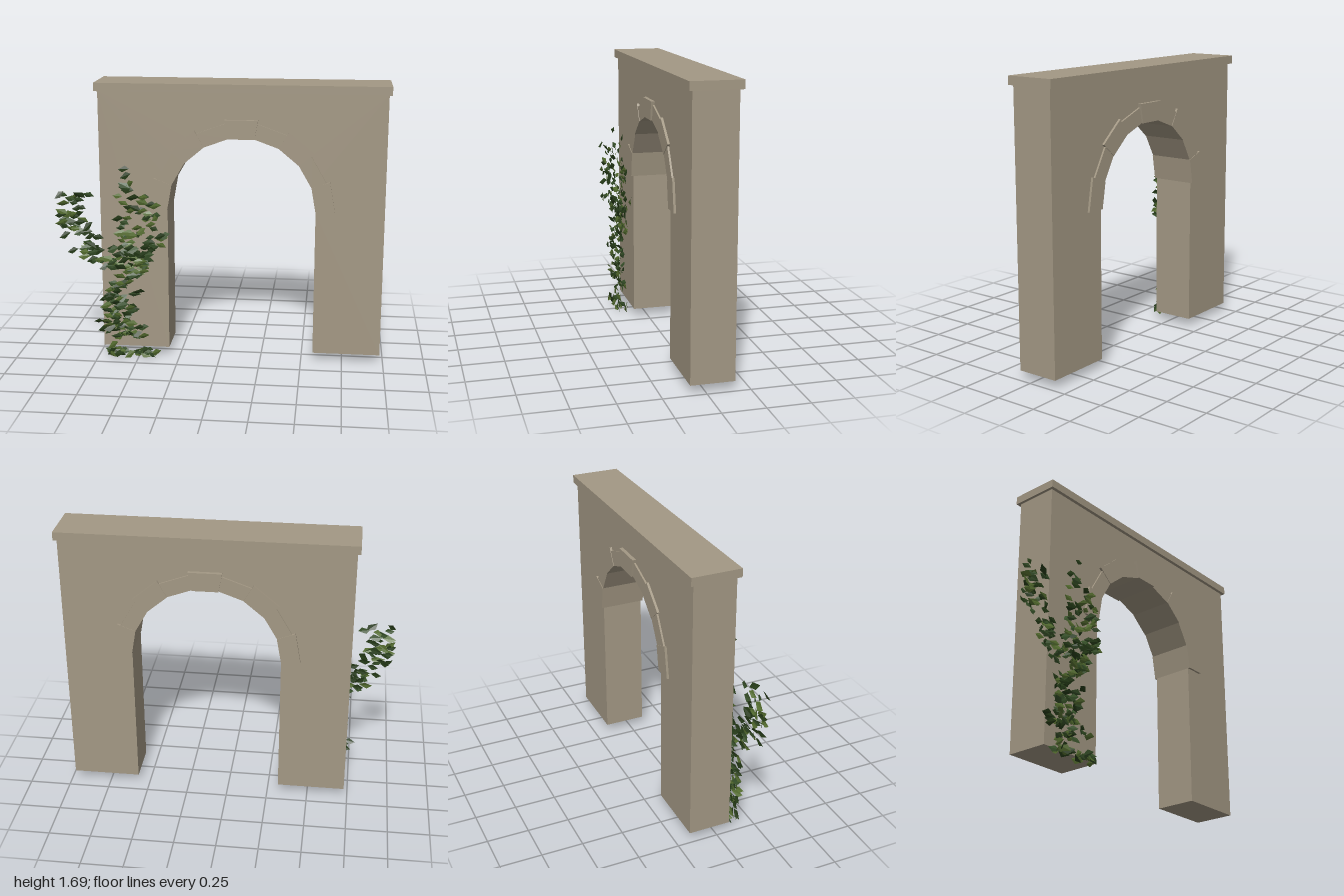
import * as THREE from 'three';
import { mergeGeometries } from 'three/addons/utils/BufferGeometryUtils.js';

const stone = new THREE.MeshStandardMaterial({ color: 0xa39884 });
stone.name = 'sandstone';
const leafMaterials = [['deepGreen', 0x263c18], ['midGreen', 0x38522a], ['lightGreen', 0x566f30]].map(([name, color]) => {
  const m = new THREE.MeshStandardMaterial({ color, side: THREE.DoubleSide });
  m.name = name;
  return m;
});

// Arch centre, radius and wall planes
const CX = 0.127, CY = 0.936, R = 0.444, FRONT = 0.09, BACK = -0.166;
const STEP = Math.PI / 9;
const onArch = (r, i) => new THREE.Vector2(CX + r * Math.cos(i * STEP), CY + r * Math.sin(i * STEP));

// Seeded random numbers
let seed = 7;
const rand = () => {
  seed = (seed * 16807) % 2147483647;
  return seed / 2147483647;
};
const spread = (a) => (rand() + rand() - 1) * a;

function addMesh(parent, name, geometry, material) {
  const mesh = new THREE.Mesh(geometry, material);
  mesh.name = name;
  parent.add(mesh);
  return mesh;
}

function slab(points, z0, z1) {
  const g = new THREE.ExtrudeGeometry(new THREE.Shape(points), { depth: z1 - z0, bevelEnabled: false });
  return g.translate(0, 0, z0);
}

// Wall with the faceted round opening
function addWall(group) {
  const v = (x, y) => new THREE.Vector2(x, y);
  const arch = [];
  for (let i = 0; i <= 9; i++) arch.push(onArch(R, i));
  const outline = [
    v(CX + R, 0.05), v(0.979, 0.05), v(0.979, 1.645), v(-0.728, 1.645), v(-0.728, 0.05), v(CX - R, 0.05),
    ...arch.reverse(),
  ];
  addMesh(group, 'wall', slab(outline, BACK, FRONT), stone);
  const cap = addMesh(group, 'copingSlab', new THREE.BoxGeometry(1.742, 0.05, 0.298), stone);
  cap.position.set(0.125, 1.67, -0.038);
}

// Arch stones on both faces, alternating long and short, with a keystone
function addArchStones(group) {
  const ring = new THREE.Group();
  ring.name = 'archStones';
  for (let i = 0; i < 9; i++) {
    const key = i === 4, long = i % 2 === 0;
    const outer = long ? 0.559 : 0.537;
    const out = key ? 0.022 : long ? 0.014 : 0.011;
    const a = onArch(outer, i), b = onArch(outer, i + 1);
    if (key) {
      a.x += 0.002;
      b.x -= 0.002;
    }
    const pts = [onArch(R, i), a, b, onArch(R, i + 1)];
    const name = key ? 'keystone' : 'archStone';
    addMesh(ring, name + 'Front', slab(pts, FRONT, FRONT + out), stone);
    addMesh(ring, name + 'Back', slab(pts, BACK - out, BACK), stone);
  }
  group.add(ring);
}

// One diamond leaf, lightly folded along its length
function leafGeometry() {
  const s = 0.8 + rand() * 0.35;
  const g = new THREE.BufferGeometry();
  g.setAttribute('position', new THREE.Float32BufferAttribute([
    -0.037, -0.004, 0, -0.008, -0.022, -0.004, 0.037, 0.004, 0,
    -0.037, -0.004, 0, 0.037, 0.004, 0, 0.008, 0.022, -0.004,
  ], 3));
  g.scale(s, s, s);
  g.rotateX(spread(0.7));
  g.rotateY(spread(0.6));
  g.rotateZ(spread(0.7));
  g.computeVertexNormals();
  return g;
}

// Climbing vine: leaves scattered along stems
function addIvy(group) {
  const stems = [
    { n: 26, w: 0.14, h: 0.03, path: [[-0.63, 0.035], [-0.45, 0.025]] },
    { n: 125, w: 0.14, h: 0.06, path: [[-0.56, 0.12], [-0.62, 0.25], [-0.6, 0.42], [-0.56, 0.6], [-0.56, 0.72]] },
    { n: 12, w: 0.1, h: 0.06, path: [[-0.7, 0.2], [-0.66, 0.4]] },
    { n: 28, w: 0.09, h: 0.07, path: [[-0.64, 0.58], [-0.8, 0.66], [-0.78, 0.74]] },
    { n: 34, w: 0.11, h: 0.08, path: [[-0.84, 0.78], [-0.93, 0.85], [-0.87, 0.93], [-0.87, 1.03]] },
    { n: 26, w: 0.1, h: 0.06, path: [[-0.56, 0.7], [-0.58, 0.85], [-0.54, 1.0], [-0.57, 1.15]] },
    { n: 24, w: 0.1, h: 0.07, path: [[-0.52, 0.58], [-0.44, 0.7], [-0.37, 0.8]] },
    { n: 15, w: 0.09, h: 0.07, path: [[-0.47, 0.82], [-0.42, 1.02]] },
  ];
  const leaves = leafMaterials.map(() => []);
  for (const { n, w, h, path } of stems) {
    const curve = new THREE.CatmullRomCurve3(path.map(([x, y]) => new THREE.Vector3(x, y, 0.135)));
    for (let i = 0; i < n; i++) {
      const p = curve.getPoint((i + rand()) / n);
      p.x = Math.max(-0.962, p.x + spread(w));
      p.y = Math.max(0.025, p.y + spread(h));
      p.z += spread(0.055);
      if (p.x > -0.76) p.z = Math.max(p.z, 0.102);
      leaves[Math.floor(rand() * 3)].push(leafGeometry().translate(p.x, p.y, p.z));
    }
  }
  const ivy = new THREE.Group();
  ivy.name = 'ivy';
  leaves.forEach((list, i) => addMesh(ivy, 'ivyLeaves' + (i + 1), mergeGeometries(list), leafMaterials[i]));
  group.add(ivy);
}

export function createModel() {
  const group = new THREE.Group();
  group.name = 'stoneArch';
  addWall(group);
  addArchStones(group);
  addIvy(group);
  return group;
}
